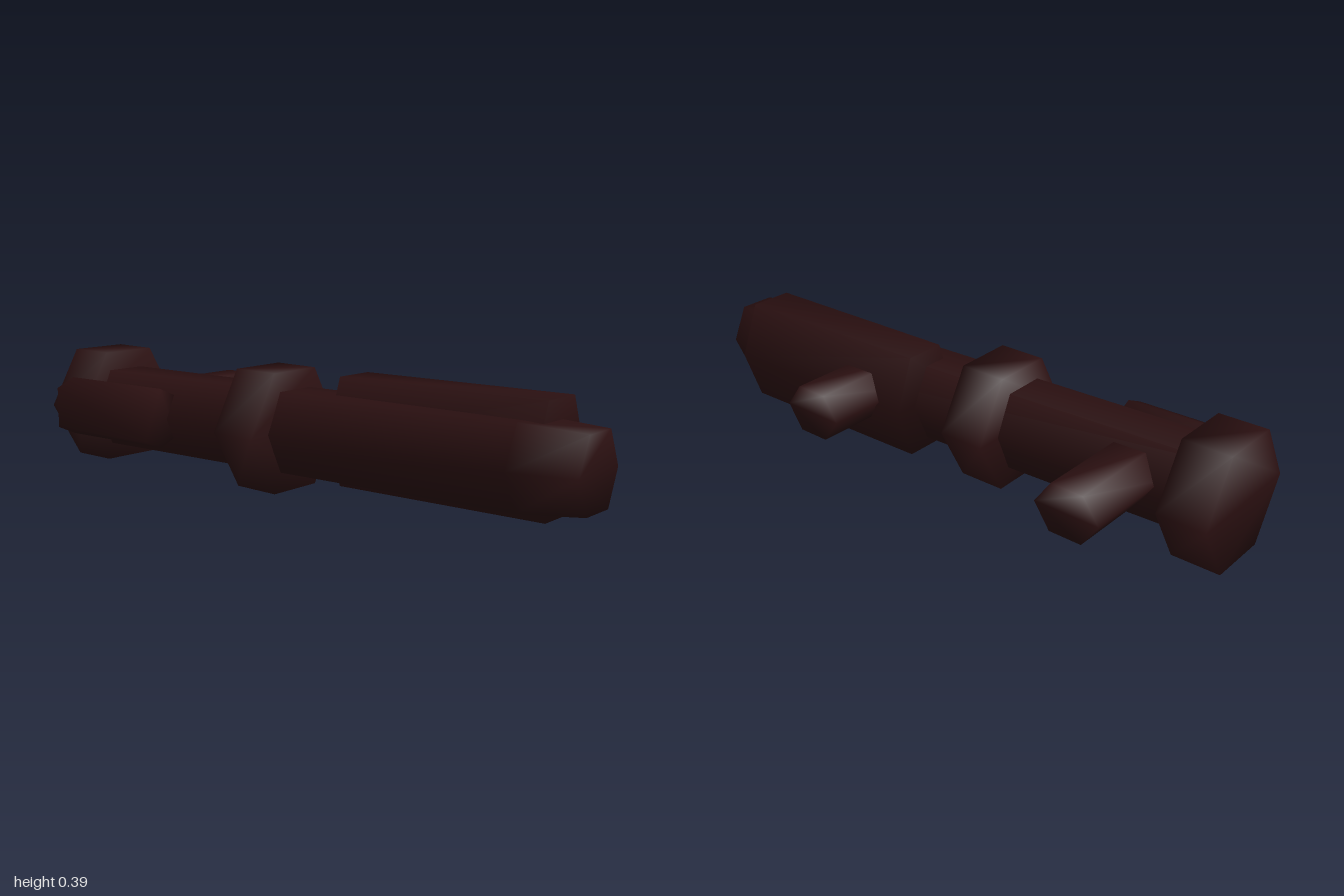
import * as THREE from 'three';

// Directions for a bar: u = towards the hexagon's points, v = towards its flats, s = along the bar
const ALONG_X = { u: [0, 0, 1], v: [0, 1, 0], s: [1, 0, 0] };
const ALONG_X_UPRIGHT = { u: [0, 1, 0], v: [0, 0, 1], s: [1, 0, 0] };
const ALONG_Z = { u: [1, 0, 0], v: [0, 1, 0], s: [0, 0, 1] };

// Closed six-sided bar lofted through sections [s, u, v, halfU, halfV].
// flat = length of the flats relative to the width; skew = slant of the ends.
function hexBar(axes, sections, flat = 0.5, skew = 0) {
  const corners = [[1, 0], [flat, 1], [-flat, 1], [-1, 0], [-flat, -1], [flat, -1]];
  const [U, V, S] = [axes.u, axes.v, axes.s].map((a) => new THREE.Vector3(...a));
  const flip = U.clone().cross(V).dot(S) < 0;
  const positions = [];
  const index = [];
  const tri = (a, b, c) => (flip ? index.push(a, c, b) : index.push(a, b, c));

  for (const [s, u, v, hu, hv] of sections) {
    for (const [cu, cv] of corners) {
      const p = new THREE.Vector3()
        .addScaledVector(U, u + cu * hu)
        .addScaledVector(V, v + cv * hv)
        .addScaledVector(S, s + cu * hu * skew);
      positions.push(p.x, p.y, p.z);
    }
  }
  for (let k = 0; k < sections.length - 1; k++) {
    for (let i = 0; i < 6; i++) {
      const a = k * 6 + i;
      const b = k * 6 + ((i + 1) % 6);
      tri(a, b, b + 6);
      tri(a, b + 6, a + 6);
    }
  }
  // End caps
  const last = (sections.length - 1) * 6;
  for (let i = 1; i < 5; i++) {
    tri(0, i + 1, i);
    tri(last, last + i, last + i + 1);
  }
  const geometry = new THREE.BufferGeometry();
  geometry.setAttribute('position', new THREE.Float32BufferAttribute(positions, 3));
  geometry.setIndex(index);
  geometry.computeVertexNormals();
  return geometry;
}

export function createModel() {
  const group = new THREE.Group();
  const darkBrown = new THREE.MeshStandardMaterial({ color: 0x2b1011 });
  darkBrown.name = 'darkBrown';

  const add = (name, geometry) => {
    const mesh = new THREE.Mesh(geometry, darkBrown);
    mesh.name = name;
    group.add(mesh);
  };

  // Long shaft with a tapered tip
  add('shaft', hexBar(ALONG_X, [
    [-0.95, 0.096, 0.2, 0.13, 0.13],
    [0.79, 0.076, 0.188, 0.137, 0.128],
    [1, 0.075, 0.192, 0.115, 0.112],
  ], 0.55));

  // Wide collars at the butt end and the middle
  add('endCollar', hexBar(ALONG_X, [
    [-1, 0.075, 0.205, 0.217, 0.189],
    [-0.838, 0.08, 0.203, 0.215, 0.189],
  ], 0.48));
  add('middleCollar', hexBar(ALONG_X, [
    [-0.217, 0.08, 0.195, 0.215, 0.191],
    [-0.055, 0.087, 0.192, 0.214, 0.192],
  ], 0.48, 0.02));

  // Block along the front and broad housing along the back
  add('frontBlock', hexBar(ALONG_X_UPRIGHT, [
    [-0.94, 0.205, 0.25, 0.1, 0.07],
    [-0.5, 0.203, 0.25, 0.1, 0.07],
  ], 0.69));
  add('backHousing', hexBar(ALONG_X, [
    [0.118, 0.003, 0.204, 0.134, 0.173],
    [0.85, 0.012, 0.202, 0.142, 0.172],
  ], 0.53));

  // Two pegs pointing backwards
  for (const [name, x, z] of [['rightPeg', -0.66, -0.31], ['leftPeg', 0.315, -0.318]]) {
    add(name, hexBar(ALONG_Z, [
      [z, x, 0.216, 0.11, 0.077],
      [0.03, x, 0.216, 0.108, 0.077],
    ], 0.5, 0.03));
  }
  return group;
}
